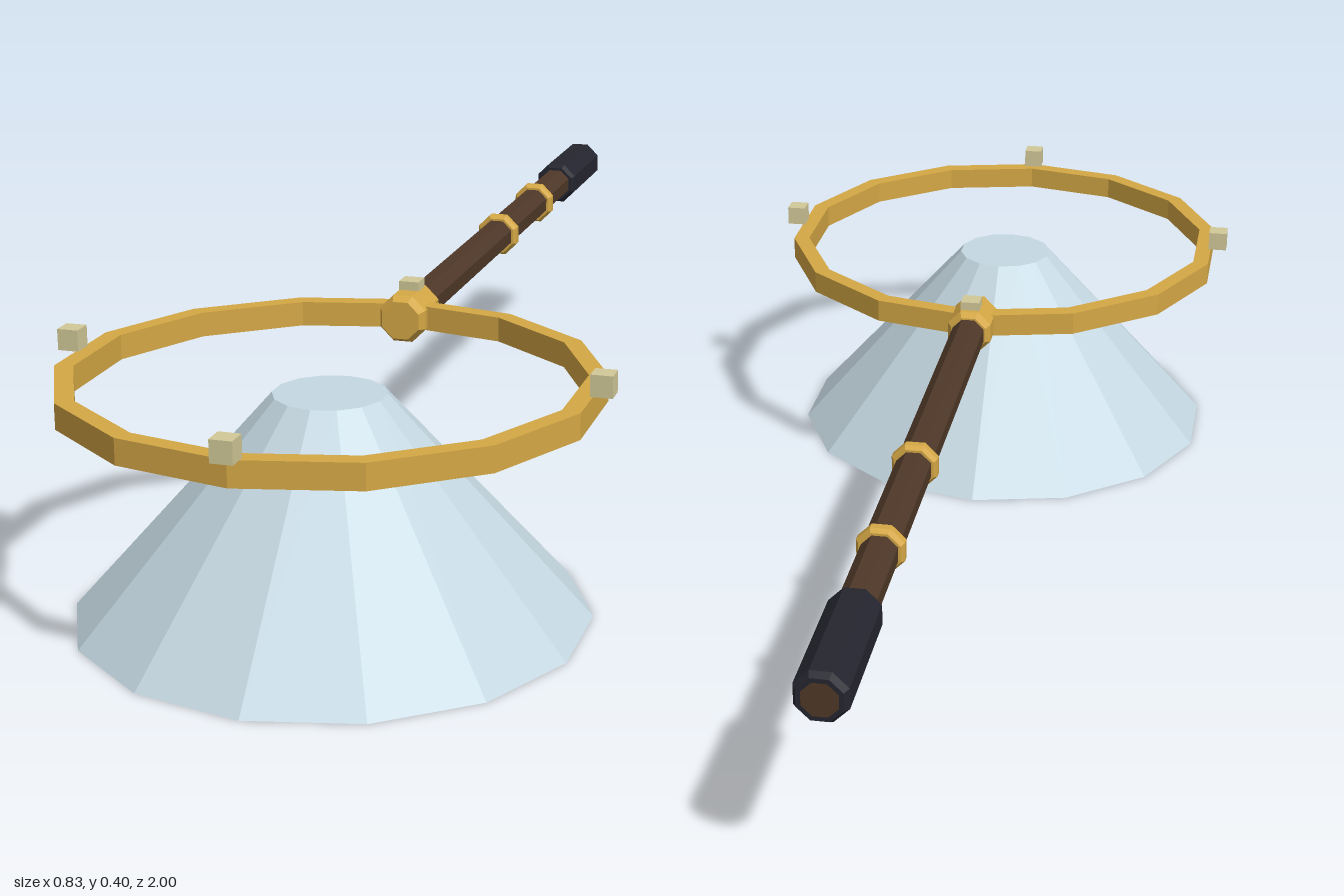
import * as THREE from 'three';

const flat = (name, color) => {
  const m = new THREE.MeshStandardMaterial({ color, flatShading: true });
  m.name = name;
  return m;
};

const HOOP_Z = 0.587; // centre of the hoop and net
const AXIS_Y = 0.348; // height of the pole axis and hoop

// Ring or solid of revolution from [radius, height] pairs, listed upwards on the outside
const lathe = (points, sides) =>
  new THREE.LatheGeometry(points.map(([r, h]) => new THREE.Vector2(r, h)), sides);

export function createModel() {
  const gold = flat('gold', 0xd4a745);
  const netCloth = flat('net cloth', 0xc5d8e2);
  const wood = flat('dark wood', 0x4f3828);
  const leather = flat('dark leather', 0x25252f);
  const pale = flat('pale stud', 0xd2c998);

  const model = new THREE.Group();
  model.name = 'handNet';
  const add = (name, geometry, material, x, y, z) => {
    const mesh = new THREE.Mesh(geometry, material);
    mesh.name = name;
    mesh.position.set(x, y, z);
    model.add(mesh);
    return mesh;
  };

  // Eight-sided part turned around the pole, profile as [radius, z]
  const turned = (name, points, material) =>
    add(name, lathe(points, 8).rotateY(Math.PI / 8).rotateX(Math.PI / 2), material, 0, AXIS_Y, 0);

  // Net: closed truncated cone, wide end on the ground
  add('net', new THREE.CylinderGeometry(0.083, 0.38, 0.334, 14), netCloth, 0, 0.167, HOOP_Z);

  // Hoop with a rectangular section
  add('hoop', lathe([
    [0.367, -0.019], [0.395, -0.019], [0.395, 0.019], [0.367, 0.019], [0.367, -0.019],
  ], 14), gold, 0, AXIS_Y, HOOP_Z);

  // Four studs around the hoop
  for (let i = 0; i < 4; i++) {
    const a = (i * Math.PI) / 2;
    add('stud', new THREE.BoxGeometry(0.032, 0.032, 0.032), pale,
      0.397 * Math.sin(a), 0.383, HOOP_Z + 0.397 * Math.cos(a));
  }

  // Pole
  turned('pole', [[0, -0.998], [0.029, -0.998], [0.029, 0.2], [0, 0.2]], wood);

  // Grip sleeve with bevelled ends, open around the pole
  turned('grip', [
    [0.027, -1], [0.034, -1], [0.04, -0.99], [0.04, -0.782], [0.034, -0.772], [0.027, -0.772],
  ], leather);

  // Collar joining pole and hoop
  turned('collar', [
    [0, 0.155], [0.032, 0.155], [0.04, 0.167], [0.04, 0.238], [0.032, 0.252], [0, 0.252],
  ], gold);

  // Bands on the pole
  for (const z of [-0.34, -0.603]) {
    turned('band', [
      [0.028, z - 0.014], [0.033, z - 0.014], [0.038, z - 0.006],
      [0.038, z + 0.006], [0.033, z + 0.014], [0.028, z + 0.014],
    ], gold);
  }

  return model;
}
